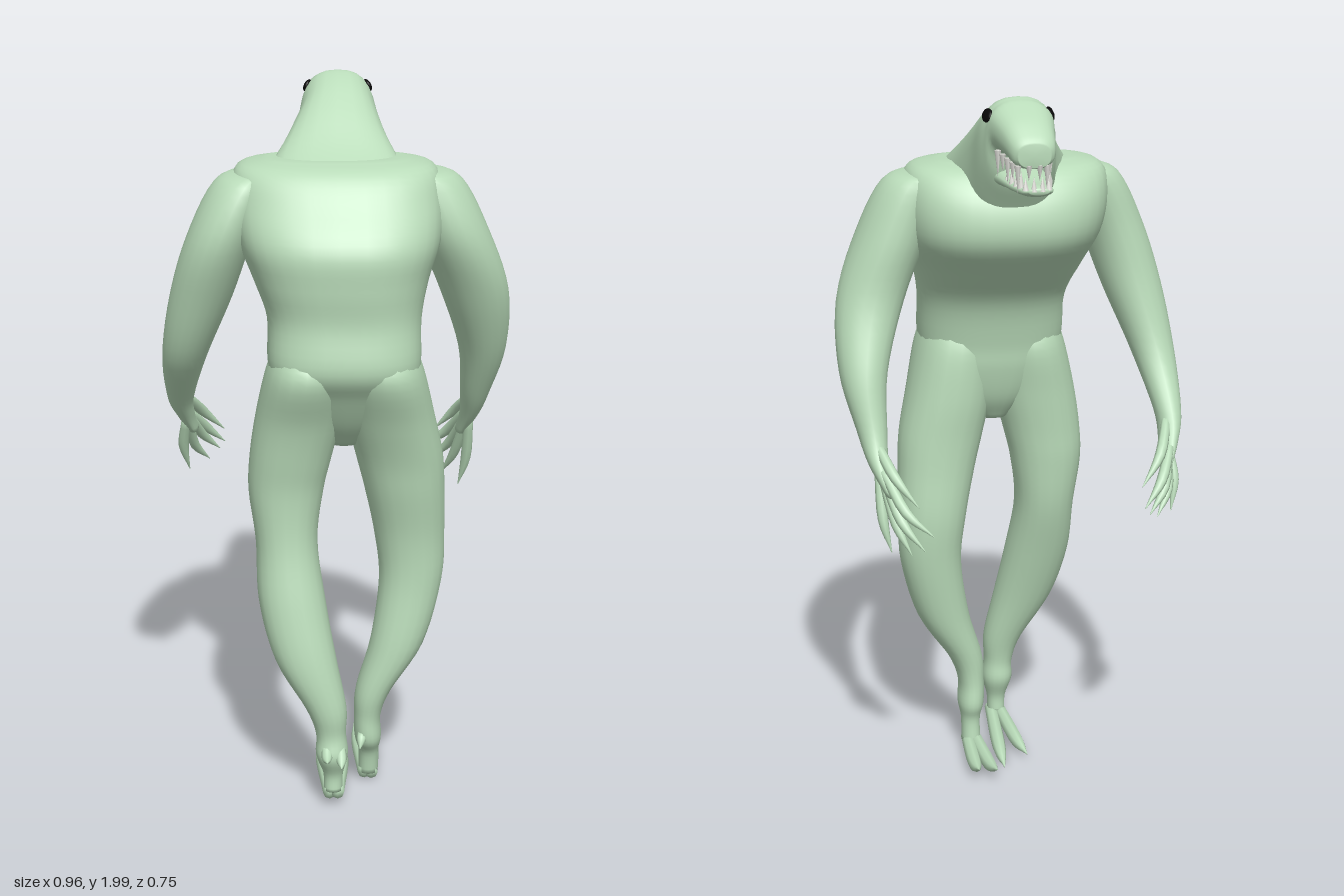
import * as THREE from 'three';

const skin = new THREE.MeshStandardMaterial({ color: 0xbadcba });
skin.name = 'pale green skin';
const ivory = new THREE.MeshStandardMaterial({ color: 0xe2e2dc });
ivory.name = 'ivory teeth';
const black = new THREE.MeshStandardMaterial({ color: 0x080808 });
black.name = 'black eyes';

// Smooth skin over rounded sections. Rows are [x, y, z, radius across, radius deep];
// a power below 1 makes the sections squarer.
function loft(rows, { axis, sides = 20, steps = 5, power = 1 } = {}) {
  const centres = new THREE.CatmullRomCurve3(rows.map(r => new THREE.Vector3(r[0], r[1], r[2])), false, 'catmullrom', 0.5);
  const radii = new THREE.CatmullRomCurve3(rows.map(r => new THREE.Vector3(r[3], r[4], 0)), false, 'catmullrom', 0.5);
  const n = (rows.length - 1) * steps;
  const dir = axis ? new THREE.Vector3(...axis)
    : centres.getPoint(1).sub(centres.getPoint(0)).normalize();
  const u = new THREE.Vector3(1, 0, 0).addScaledVector(dir, -dir.x).normalize();
  const v = dir.clone().cross(u);
  const bend = s => Math.sign(s) * Math.abs(s) ** power;
  const pos = [], index = [];
  for (let i = -1; i <= n + 1; i++) {
    const t = Math.min(Math.max(i / n, 0), 1);
    const c = centres.getPoint(t), r = radii.getPoint(t);
    const open = i < 0 || i > n ? 0 : 1; // end rings close to a point
    for (let j = 0; j < sides; j++) {
      const a = j / sides * Math.PI * 2;
      const p = c.clone()
        .addScaledVector(u, bend(Math.cos(a)) * Math.max(r.x, 0) * open)
        .addScaledVector(v, bend(Math.sin(a)) * Math.max(r.y, 0) * open);
      pos.push(p.x, p.y, p.z);
    }
  }
  for (let i = 0; i < n + 2; i++) for (let j = 0; j < sides; j++) {
    const a = i * sides + j, b = i * sides + (j + 1) % sides;
    index.push(a, b, a + sides, b, b + sides, a + sides);
  }
  const g = new THREE.BufferGeometry();
  g.setAttribute('position', new THREE.Float32BufferAttribute(pos, 3));
  g.setIndex(index);
  g.computeVertexNormals();
  return g;
}

function add(parent, name, geometry, material = skin) {
  const m = new THREE.Mesh(geometry, material);
  m.name = name;
  parent.add(m);
  return m;
}

// Tapered finger or toe through three points, ending in a sharp claw
function digit(parent, name, a, b, c, r) {
  add(parent, name, loft([[...a, r * 0.8, r * 0.8], [...b, r * 0.85, r * 0.85], [...c, 0.001, 0.001]], { sides: 8, steps: 4 }));
}

function tooth(parent, x, y, z, length) {
  const m = add(parent, 'tooth', new THREE.ConeGeometry(0.009, Math.abs(length), 6), ivory);
  m.position.set(x, y + length / 2, z);
  if (length < 0) m.rotation.x = Math.PI;
}

const DOWN = [0, -1, 0], AHEAD = [0, 0, -1];

export function createModel() {
  const body = new THREE.Group();
  body.name = 'creature';

  // Torso from shoulders to hips, with a broad hunched back
  add(body, 'torso', loft([
    [0, 1.805, 0.06, 0.18, 0.09], [0, 1.78, 0.065, 0.265, 0.165], [0.003, 1.7, 0.07, 0.283, 0.225],
    [0.008, 1.6, 0.1, 0.272, 0.26], [0.012, 1.5, 0.14, 0.235, 0.222], [0.02, 1.4, 0.175, 0.207, 0.178],
    [0.02, 1.28, 0.2, 0.205, 0.168], [0.024, 1.2, 0.183, 0.185, 0.14], [0.025, 1.11, 0.168, 0.12, 0.1],
    [0.02, 1.04, 0.16, 0.04, 0.05],
  ], { axis: DOWN, sides: 36, power: 0.78 }));

  // Neck and throat sloping forward into the snout
  add(body, 'neckAndHead', loft([
    [0, 1.68, 0.22, 0.2, 0.09], [0, 1.7, 0.1, 0.2, 0.13], [0.005, 1.745, -0.02, 0.15, 0.175],
    [0.01, 1.8, -0.1, 0.118, 0.173], [0.01, 1.86, -0.165, 0.104, 0.138], [0.01, 1.888, -0.198, 0.093, 0.108],
    [0.008, 1.922, -0.225, 0.085, 0.066], [0.004, 1.905, -0.285, 0.07, 0.054], [0, 1.882, -0.33, 0.058, 0.043],
    [0, 1.874, -0.35, 0.042, 0.03],
  ], { axis: AHEAD, sides: 28, power: 0.8 }));
  add(body, 'lowerJaw', loft([
    [0.01, 1.795, -0.13, 0.08, 0.045], [0.005, 1.792, -0.21, 0.068, 0.028], [-0.002, 1.785, -0.29, 0.054, 0.018],
    [-0.006, 1.785, -0.35, 0.043, 0.015], [-0.008, 1.787, -0.372, 0.026, 0.008],
  ], { axis: AHEAD }));

  // Teeth along both sides and across the front
  for (const s of [-1, 1]) {
    for (let i = 0; i < 5; i++) {
      const t = i / 4;
      tooth(body, 0.004 + s * (0.07 - 0.032 * t), 1.872 - 0.022 * t, -0.235 - 0.105 * t, i % 2 ? -0.045 : -0.068);
      tooth(body, -0.004 + s * (0.055 - 0.025 * t), 1.79, -0.25 - 0.113 * t, i % 2 ? 0.045 : 0.032);
    }
    tooth(body, s * 0.014, 1.85, -0.345, -0.04);
    tooth(body, -0.006 + s * 0.011, 1.787, -0.367, 0.038);
  }

  // Eyes
  for (const s of [-1, 1]) {
    const eye = add(body, 'eye', new THREE.SphereGeometry(1, 16, 10), black);
    eye.scale.set(0.009, 0.018, 0.027);
    eye.position.set(0.01 + s * 0.083, 1.955, -0.19);
    eye.rotation.set(-0.2, s * 0.12, s * 0.5);
  }

  // Long arms, swept forward to the hands
  add(body, 'rightArm', loft([
    [0.19, 1.775, 0.06, 0.06, 0.07], [0.25, 1.745, 0.06, 0.088, 0.105], [0.315, 1.6, 0.06, 0.1, 0.12],
    [0.38, 1.43, 0.025, 0.094, 0.092], [0.412, 1.25, -0.05, 0.067, 0.078], [0.4, 1.1, -0.115, 0.042, 0.056],
    [0.39, 1.02, -0.165, 0.028, 0.05], [0.368, 0.95, -0.218, 0.014, 0.046],
  ], { axis: DOWN }));
  add(body, 'leftArm', loft([
    [-0.18, 1.775, 0.08, 0.06, 0.07], [-0.24, 1.745, 0.1, 0.085, 0.11], [-0.31, 1.6, 0.12, 0.09, 0.12],
    [-0.365, 1.43, 0.09, 0.085, 0.1], [-0.415, 1.25, 0.03, 0.062, 0.08], [-0.435, 1.1, -0.08, 0.038, 0.058],
    [-0.425, 1.03, -0.135, 0.026, 0.05], [-0.405, 0.97, -0.183, 0.014, 0.046],
  ], { axis: DOWN }));

  // Fingers: [knuckle, middle, tip] for each hand
  const hands = {
    rightFinger: [
      [[0.392, 1.07, -0.16], [0.355, 1.0, -0.25], [0.3, 0.93, -0.295]],
      [[0.382, 1.01, -0.21], [0.335, 0.92, -0.3], [0.265, 0.86, -0.34]],
      [[0.38, 0.99, -0.205], [0.345, 0.89, -0.29], [0.29, 0.82, -0.335]],
      [[0.382, 0.99, -0.185], [0.355, 0.87, -0.25], [0.32, 0.795, -0.29]],
      [[0.388, 1.0, -0.16], [0.385, 0.87, -0.2], [0.365, 0.78, -0.22]],
    ],
    leftFinger: [
      [[-0.42, 1.08, -0.13], [-0.38, 1.01, -0.22], [-0.32, 0.94, -0.27]],
      [[-0.418, 1.02, -0.18], [-0.375, 0.95, -0.26], [-0.32, 0.89, -0.305]],
      [[-0.416, 1.01, -0.17], [-0.385, 0.93, -0.255], [-0.335, 0.87, -0.3]],
      [[-0.418, 1.0, -0.15], [-0.405, 0.91, -0.215], [-0.365, 0.85, -0.265]],
      [[-0.424, 1.01, -0.13], [-0.435, 0.92, -0.17], [-0.42, 0.84, -0.2]],
    ],
  };
  for (const [name, fingers] of Object.entries(hands)) for (const f of fingers) digit(body, name, ...f, 0.017);

  // Legs rising into the buttocks, the right one standing ahead of the left
  add(body, 'rightLeg', loft([
    [0.115, 1.33, 0.195, 0.09, 0.13], [0.125, 1.25, 0.195, 0.11, 0.16], [0.145, 1.12, 0.165, 0.121, 0.138],
    [0.172, 1.0, 0.145, 0.12, 0.116], [0.188, 0.9, 0.133, 0.111, 0.106], [0.204, 0.76, 0.115, 0.098, 0.095],
    [0.208, 0.62, 0.118, 0.088, 0.086], [0.17, 0.44, 0.138, 0.075, 0.08], [0.105, 0.3, 0.15, 0.05, 0.066],
    [0.088, 0.22, 0.148, 0.038, 0.058], [0.09, 0.15, 0.143, 0.038, 0.06], [0.092, 0.1, 0.135, 0.028, 0.038],
    [0.092, 0.03, 0.125, 0.028, 0.034],
  ], { axis: DOWN, power: 0.92 }));
  add(body, 'leftLeg', loft([
    [-0.075, 1.33, 0.2, 0.09, 0.13], [-0.083, 1.25, 0.203, 0.11, 0.163], [-0.103, 1.12, 0.185, 0.118, 0.132],
    [-0.126, 1.0, 0.177, 0.112, 0.113], [-0.139, 0.9, 0.173, 0.102, 0.103], [-0.138, 0.76, 0.183, 0.085, 0.097],
    [-0.124, 0.6, 0.22, 0.092, 0.09], [-0.088, 0.44, 0.255, 0.085, 0.078], [-0.032, 0.3, 0.275, 0.057, 0.06],
    [-0.018, 0.22, 0.278, 0.042, 0.048], [-0.015, 0.16, 0.282, 0.045, 0.055], [-0.012, 0.1, 0.28, 0.028, 0.032],
    [-0.012, 0.05, 0.28, 0.026, 0.032],
  ], { axis: DOWN, power: 0.92 }));

  // Clawed toes
  const feet = {
    rightToe: [
      [[0.08, 0.032, 0.15], [0.068, 0.032, -0.05], [0.06, 0.055, -0.14]],
      [[0.1, 0.03, 0.15], [0.109, 0.03, -0.04], [0.11, 0.05, -0.12]],
    ],
    leftToe: [
      [[-0.022, 0.045, 0.3], [-0.038, 0.034, 0.09], [-0.055, 0.025, 0.0]],
      [[0.0, 0.045, 0.3], [0.018, 0.026, 0.06], [0.02, 0.01, -0.04]],
    ],
  };
  for (const [name, toes] of Object.entries(feet)) for (const t of toes) digit(body, name, ...t, 0.023);

  // Heel spurs
  digit(body, 'rightHeelSpur', [0.075, 0.18, 0.17], [0.07, 0.16, 0.2], [0.065, 0.14, 0.222], 0.016);
  digit(body, 'leftHeelSpur', [-0.03, 0.2, 0.3], [-0.03, 0.17, 0.34], [-0.03, 0.17, 0.37], 0.017);
  digit(body, 'leftHeelSpur', [0.008, 0.19, 0.3], [0.01, 0.16, 0.335], [0.01, 0.15, 0.365], 0.017);

  return body;
}
